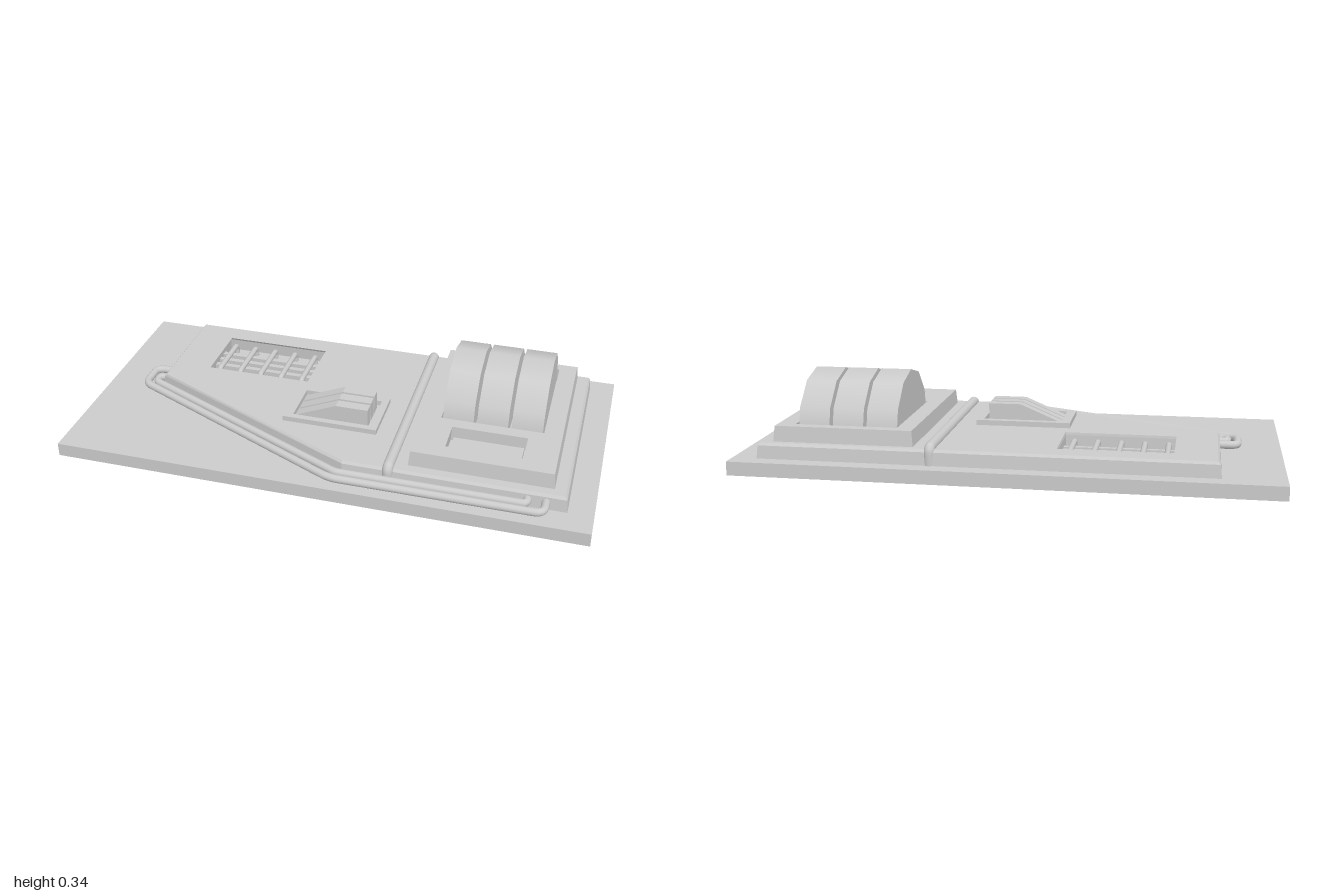
import * as THREE from 'three';

const grey = new THREE.MeshStandardMaterial({ color: 0xcccccc, side: THREE.DoubleSide });

function add(parent, name, geometry, x = 0, y = 0, z = 0) {
  const mesh = new THREE.Mesh(geometry, grey);
  mesh.name = name;
  mesh.position.set(x, y, z);
  parent.add(mesh);
  return mesh;
}

// Corner points of a rectangle on the ground plane, as [x, z]
const rect = (x0, x1, z0, z1) => [[x0, z0], [x1, z0], [x1, z1], [x0, z1]];
const toPoints = (list) => list.map(([x, z]) => new THREE.Vector2(x, -z));

// Upright slab with holes; its outer walls lean in, with a small chamfer at the top
function slab(outline, holes, height, lean = 0, chamfer = 0) {
  const shape = new THREE.Shape(toPoints(outline));
  holes.forEach((h) => shape.holes.push(new THREE.Path(toPoints(h))));
  const geo = new THREE.ExtrudeGeometry(shape, { depth: height, steps: 6, bevelEnabled: false });
  geo.rotateX(-Math.PI / 2);
  const xs = outline.map((p) => p[0]), zs = outline.map((p) => p[1]);
  const x0 = Math.min(...xs), x1 = Math.max(...xs), z0 = Math.min(...zs), z1 = Math.max(...zs);
  const cx = (x0 + x1) / 2, cz = (z0 + z1) / 2;
  const pos = geo.attributes.position;
  for (let i = 0; i < pos.count; i++) {
    const t = pos.getY(i) / height;
    const inset = lean * t + (t > 0.99 ? chamfer : 0);
    pos.setX(i, cx + (pos.getX(i) - cx) * (1 - 2 * inset / (x1 - x0)));
    pos.setZ(i, cz + (pos.getZ(i) - cz) * (1 - 2 * inset / (z1 - z0)));
  }
  geo.computeVertexNormals();
  return geo;
}

// Round pipe through [x, y, z] corners, each corner bent smoothly
function pipe(corners, radius, bend, segments) {
  const p = corners.map((c) => new THREE.Vector3(...c));
  const path = new THREE.CurvePath();
  let from = p[0];
  for (let i = 1; i < p.length - 1; i++) {
    const before = p[i - 1].clone().sub(p[i]).setLength(bend).add(p[i]);
    const after = p[i + 1].clone().sub(p[i]).setLength(bend).add(p[i]);
    path.add(new THREE.LineCurve3(from, before));
    path.add(new THREE.QuadraticBezierCurve3(before, p[i], after));
    from = after;
  }
  path.add(new THREE.LineCurve3(from, p[p.length - 1]));
  return new THREE.TubeGeometry(path, segments, radius, 12);
}

export function createModel() {
  const model = new THREE.Group();
  model.name = 'controlPanel';

  add(model, 'basePlate', new THREE.BoxGeometry(2, 0.052, 1), 0, 0.026, 0);

  // Raised plate with a slanted front left corner and an open vent
  const outline = [[-0.775, -0.44], [0.907, -0.44], [0.907, 0.403], [0.09, 0.403], [-0.775, 0.005]];
  add(model, 'raisedPlate', slab(outline, [rect(-0.62, -0.195, -0.355, -0.095)], 0.058, 0.006, 0.007), 0, 0.052, 0);

  // Vent: flat slats crossed by bent bars
  const vent = new THREE.Group();
  vent.name = 'vent';
  model.add(vent);
  for (let i = 0; i < 3; i++) {
    add(vent, 'ventSlat', new THREE.BoxGeometry(0.425, 0.02, 0.02), -0.4075, 0.068, -0.27 + i * 0.045);
  }
  for (let i = 0; i < 5; i++) {
    const x = -0.583 + i * 0.088;
    add(vent, 'ventBar', pipe([[x, 0.05, -0.33], [x, 0.088, -0.33], [x, 0.088, -0.125], [x, 0.05, -0.125]], 0.011, 0.018, 36));
  }

  // Stepped block that houses the wheels and a sunken window
  const block = new THREE.Group();
  block.name = 'wheelBlock';
  model.add(block);
  const slot = rect(0.39, 0.785, -0.365, 0.108);
  const windowHole = rect(0.443, 0.73, 0.158, 0.29);
  add(block, 'housing', slab(rect(0.325, 0.853, -0.406, 0.356), [slot, windowHole], 0.06, 0.006), 0, 0.108, 0);
  add(block, 'windowPad', new THREE.BoxGeometry(0.262, 0.025, 0.108), 0.587, 0.12, 0.224);

  // Three half wheels side by side
  for (let i = 0; i < 3; i++) {
    const wheel = new THREE.CylinderGeometry(0.232, 0.232, 0.116, 6, 1, false, 0, Math.PI);
    wheel.rotateZ(Math.PI / 2);
    add(block, 'wheel', wheel, 0.457 + i * 0.129, 0.11, -0.125);
  }

  // Switch tray with three wedge fins
  const tray = new THREE.Group();
  tray.name = 'switchTray';
  model.add(tray);
  add(tray, 'trayFrame', slab(rect(-0.2, 0.167, -0.028, 0.2), [rect(-0.165, 0.14, 0, 0.176)], 0.02), 0, 0.11, 0);
  const finShape = new THREE.Shape([[-0.16, 0.108], [0.125, 0.108], [0.125, 0.187], [0, 0.187], [-0.16, 0.12]]
    .map(([x, y]) => new THREE.Vector2(x, y)));
  for (let i = 0; i < 3; i++) {
    const fin = new THREE.ExtrudeGeometry(finShape, { depth: 0.041, bevelEnabled: false });
    add(tray, 'switchFin', fin, 0, 0, 0.021 + i * 0.051);
  }

  // Round strap bent over the raised plate
  add(model, 'strap', pipe([[0.26, 0.05, 0.395], [0.26, 0.114, 0.395], [0.26, 0.114, -0.425], [0.26, 0.05, -0.425]], 0.02, 0.02, 100));

  // Two pipes following the slanted edge
  const outer = [[-0.76, -0.073], [-0.837, -0.073], [-0.837, 0.045], [0.06, 0.465], [0.83, 0.465], [0.83, 0.39]];
  const inner = [[-0.76, -0.017], [-0.799, -0.017], [-0.799, 0.023], [0.072, 0.426], [0.765, 0.426], [0.765, 0.39]];
  const raise = (path) => path.map(([x, z]) => [x, 0.08, z]);
  add(model, 'outerPipe', pipe(raise(outer), 0.015, 0.035, 200));
  add(model, 'innerPipe', pipe(raise(inner), 0.015, 0.017, 240));

  return model;
}
